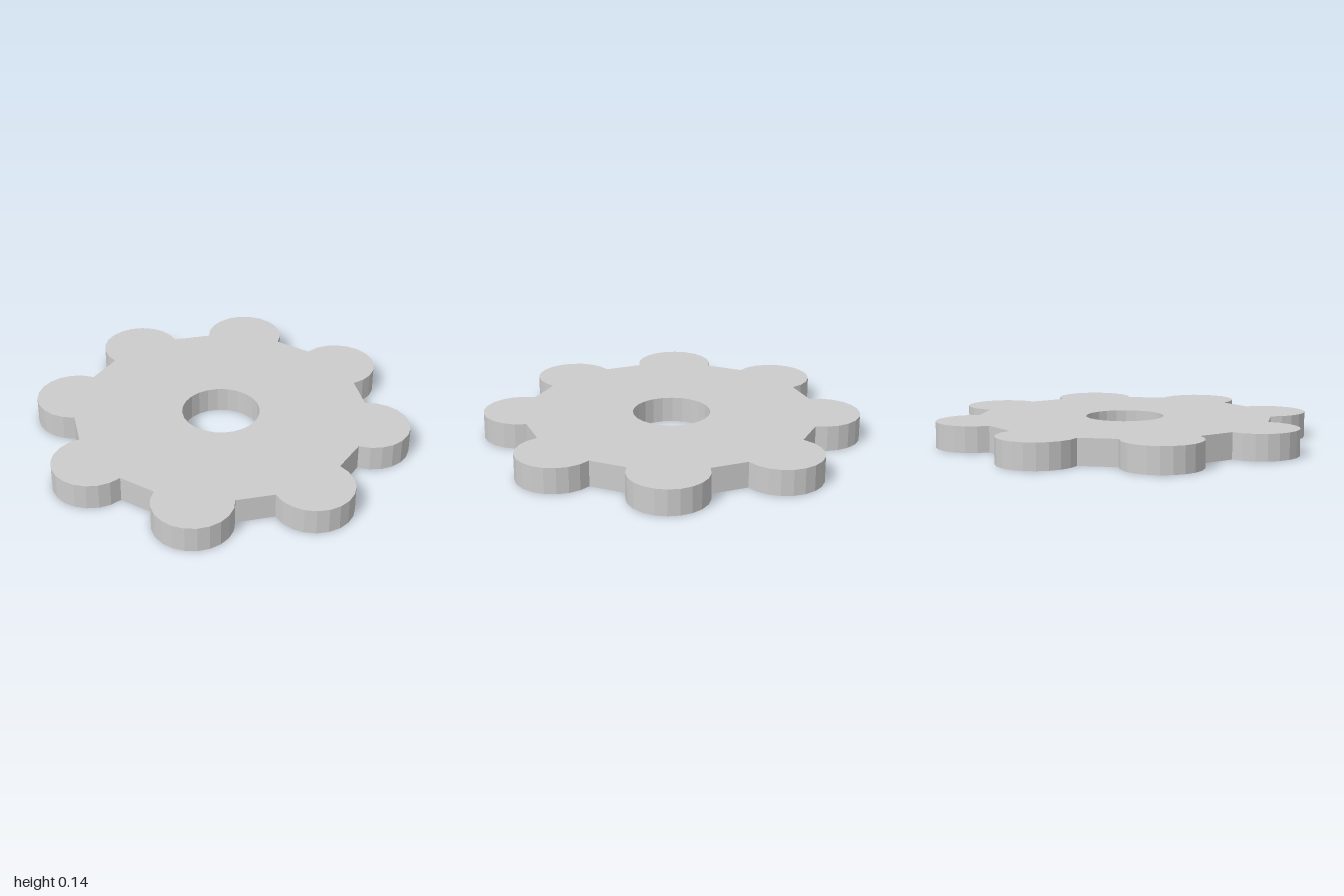
import * as THREE from 'three';

const LOBES = 8, PHASE = 15.2, CENTRE_R = 0.818, LOBE_R = 0.212;
const HALF_ARC = 103, ARC_STEPS = 12, HOLE_R = 0.212, HOLE_SIDES = 24, THICKNESS = 0.14;

const polar = (r, degrees) => {
  const a = THREE.MathUtils.degToRad(degrees);
  return new THREE.Vector2(r * Math.cos(a), r * Math.sin(a));
};

export function createModel() {
  const group = new THREE.Group();
  group.name = 'lobedWheel';

  // Outline: round lobes joined by straight notch edges
  const outline = [];
  for (let i = 0; i < LOBES; i++) {
    const direction = PHASE + (i * 360) / LOBES;
    const centre = polar(CENTRE_R, direction);
    for (let j = 0; j <= ARC_STEPS; j++) {
      const angle = direction - HALF_ARC + (2 * HALF_ARC * j) / ARC_STEPS;
      outline.push(polar(LOBE_R, angle).add(centre));
    }
  }
  const shape = new THREE.Shape(outline);

  // Central bore
  const bore = [];
  for (let i = 0; i < HOLE_SIDES; i++) bore.push(polar(HOLE_R, (-i * 360) / HOLE_SIDES));
  shape.holes.push(new THREE.Path(bore));

  // Flat plate laid on the ground
  const geometry = new THREE.ExtrudeGeometry(shape, { depth: THICKNESS, bevelEnabled: false });
  geometry.rotateX(-Math.PI / 2);
  const plate = new THREE.Mesh(
    geometry,
    new THREE.MeshStandardMaterial({ color: 0xcccccc, flatShading: true })
  );
  plate.name = 'lobedPlate';
  group.add(plate);
  return group;
}
